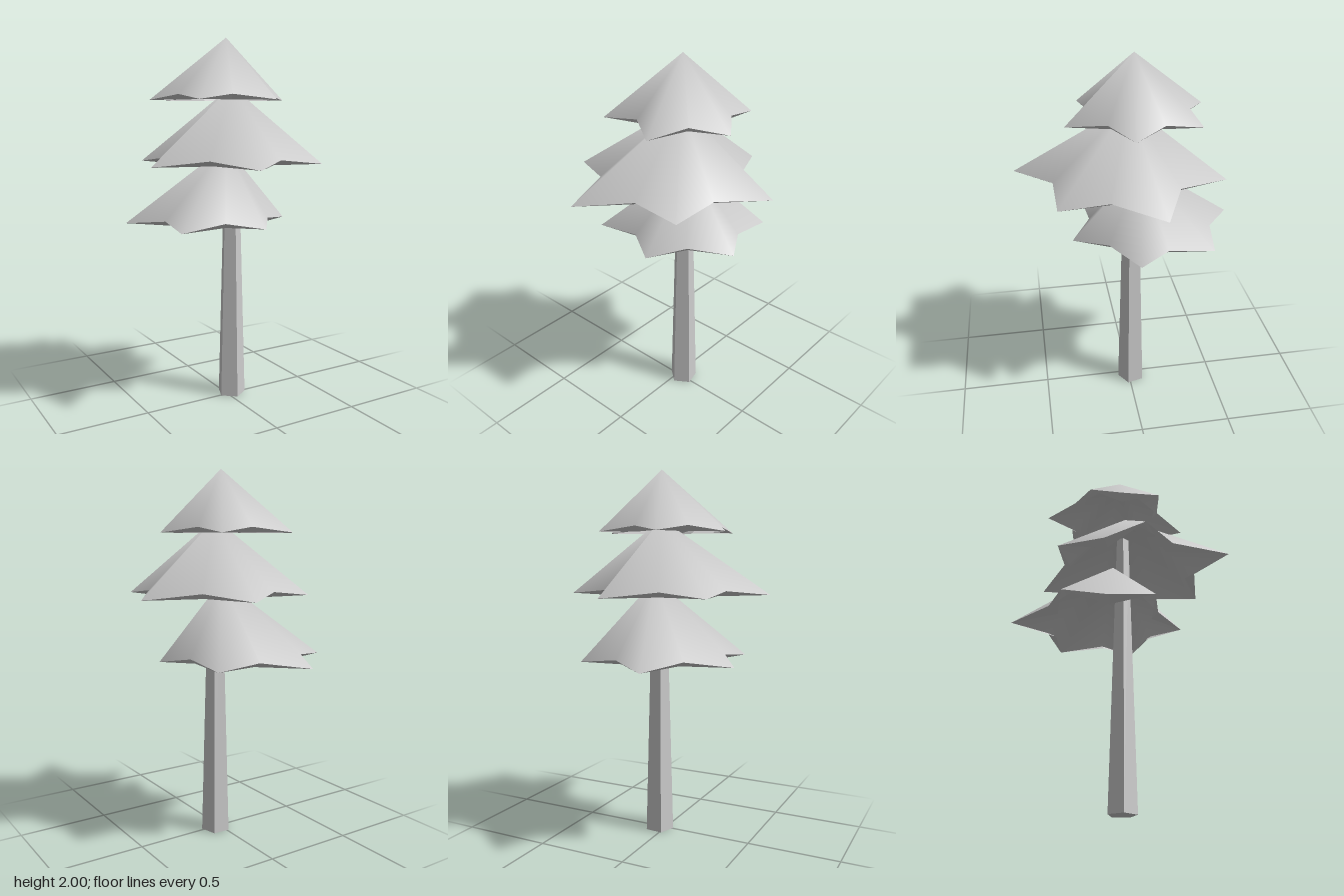
import * as THREE from 'three';

// Builds one mesh geometry from points and triangle indices
function surface(points, index, smooth) {
  let g = new THREE.BufferGeometry();
  g.setAttribute('position', new THREE.Float32BufferAttribute(points.flat(), 3));
  g.setIndex(index);
  if (!smooth) g = g.toNonIndexed();
  g.computeVertexNormals();
  return g;
}

// Star-edged cone: rim rows are [tipX, tipZ, notchX, notchZ] around the tree
function branchTier(name, apex, baseY, rim, material) {
  const tier = new THREE.Group();
  tier.name = name;
  const lift = 0.028;
  const n = rim.length * 2;
  const cone = [apex];
  const lip = [];
  const coneIndex = [];
  const lipIndex = [];

  rim.forEach(([tx, tz, vx, vz], i) => {
    cone.push([tx, baseY, tz], [vx, baseY + lift, vz]);
    // undercut below each notch, drawn in toward the trunk
    const [nx, nz] = rim[(i + 1) % rim.length];
    const k = 0.86;
    lip.push(
      [tx, baseY, tz], [vx, baseY + lift, vz], [nx, baseY, nz],
      [apex[0] + (vx - apex[0]) * k, baseY, apex[2] + (vz - apex[2]) * k]
    );
    const o = i * 4;
    lipIndex.push(o + 1, o + 2, o + 3, o + 1, o + 3, o);
  });
  for (let i = 0; i < n; i++) coneIndex.push(0, 1 + ((i + 1) % n), 1 + i);

  const top = new THREE.Mesh(surface(cone, coneIndex, true), material);
  top.name = name + 'Cone';
  const under = new THREE.Mesh(surface(lip, lipIndex, false), material);
  under.name = name + 'Lip';
  tier.add(top, under);
  return tier;
}

export function createModel() {
  const tree = new THREE.Group();
  tree.name = 'tree';
  const grey = new THREE.MeshStandardMaterial({ color: 0xcccccc, side: THREE.DoubleSide });
  grey.name = 'light grey';

  // Five-sided tapering trunk
  const height = 1.6;
  let g = new THREE.CylinderGeometry(0.036, 0.08, height, 5, 1, false, -0.06);
  g = g.toNonIndexed();
  g.computeVertexNormals();
  const trunk = new THREE.Mesh(g, grey);
  trunk.name = 'trunk';
  trunk.position.set(0.033, height / 2, -0.015);
  tree.add(trunk);

  // Three tiers of branches
  tree.add(branchTier('topTier', [0.008, 2, -0.03], 1.67, [
    [-0.16, -0.425, 0.014, -0.32],
    [0.21, -0.343, 0.227, -0.15],
    [0.35, 0.017, 0.18, 0.127],
    [0.094, 0.33, -0.09, 0.203],
    [-0.297, 0.232, -0.31, 0.03],
    [-0.398, -0.133, -0.246, -0.248],
  ], grey));
  tree.add(branchTier('middleTier', [0.026, 1.745, 0], 1.34, [
    [0.122, -0.505, 0.25, -0.23],
    [0.532, -0.11, 0.357, 0.14],
    [0.338, 0.397, 0.075, 0.4],
    [-0.17, 0.595, -0.275, 0.298],
    [-0.538, 0.18, -0.376, -0.057],
    [-0.373, -0.308, -0.125, -0.325],
  ], grey));
  tree.add(branchTier('bottomTier', [0.03, 1.42, -0.07], 1.005, [
    [-0.16, -0.6, 0.056, -0.45],
    [0.282, -0.42, 0.287, -0.17],
    [0.38, -0.01, 0.18, 0.13],
    [0.05, 0.31, -0.13, 0.2],
    [-0.39, 0.21, -0.365, -0.03],
    [-0.5, -0.25, -0.278, -0.365],
  ], grey));
  return tree;
}
